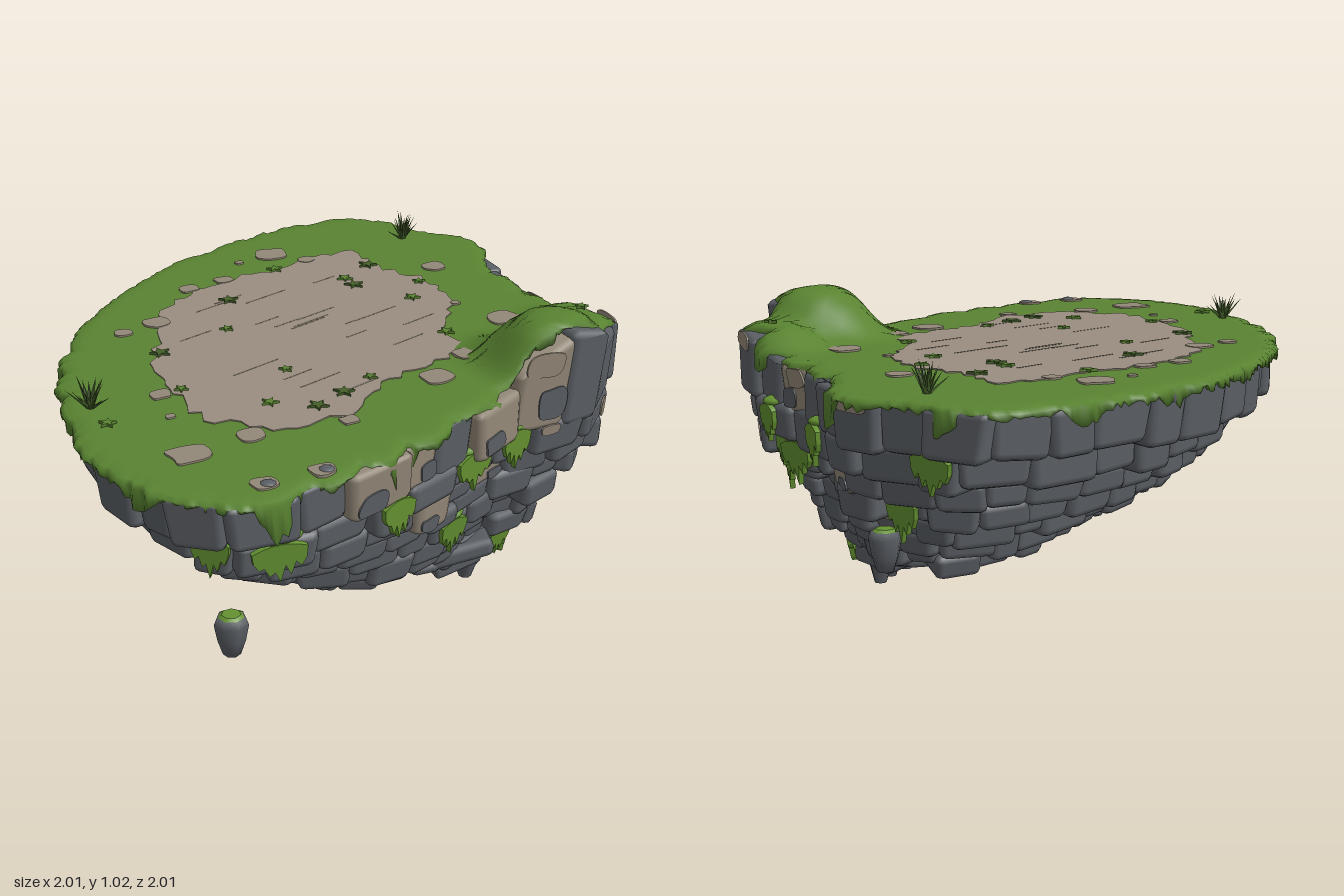
import * as THREE from 'three';
import { RoundedBoxGeometry } from 'three/addons/geometries/RoundedBoxGeometry.js';

const mat = (name, color, side = THREE.FrontSide) => {
  const m = new THREE.MeshStandardMaterial({ color, side });
  m.name = name;
  return m;
};
const V = (x, y, z) => new THREE.Vector3(x, y, z);
const { lerp, smoothstep, clamp } = THREE.MathUtils;

export function createModel() {
  const island = new THREE.Group();
  island.name = 'floatingIsland';
  let seed = 7;
  const rnd = (a = 0, b = 1) => {
    seed = (seed * 16807) % 2147483647;
    return a + (b - a) * seed / 2147483647;
  };
  const stone = mat('stone', 0x5b5f65), deepStone = mat('deepStone', 0x484b50);
  const sand = mat('weatheredStone', 0x938878), paving = mat('paving', 0x998e80);
  const crack = mat('pavingCrack', 0x8a7f71);
  const grass = mat('grass', 0x598331, THREE.DoubleSide), moss = mat('moss', 0x649231);
  const leaf = mat('darkLeaf', 0x435e29, THREE.DoubleSide);

  const add = (name, geo, m, x = 0, y = 0, z = 0, parent = island) => {
    const mesh = new THREE.Mesh(geo, m);
    mesh.name = name;
    mesh.position.set(x, y, z);
    parent.add(mesh);
    return mesh;
  };
  const loop = pts => new THREE.CatmullRomCurve3(pts.map(([x, z]) => V(x, 0, z)), true);
  const slab = (shape, depth) =>
    new THREE.ExtrudeGeometry(shape, { depth, bevelEnabled: false });
  const flatShape = pts => new THREE.Shape(pts.map(p => new THREE.Vector2(p.x, -p.z)));
  // Rounded, irregular patch filling about w by h
  const blob = (w, h) => flatShape(loop(Array.from({ length: 9 }, (_, k) => {
    const a = k * Math.PI * 2 / 9 + .3, c = Math.cos(a), s = Math.sin(a), r = rnd(.8, 1.05);
    return [Math.sign(c) * Math.abs(c) ** .6 * w / 2 * r, Math.sign(s) * Math.abs(s) ** .6 * h / 2 * r];
  })).getPoints(30).slice(0, -1));

  // Skin a list of closed rings, running from the top outward and down
  function loft(rings) {
    const n = rings[0].length, index = [];
    for (let j = 0; j < rings.length - 1; j++)
      for (let i = 0; i < n; i++) {
        const a = j * n + i, b = j * n + (i + 1) % n;
        index.push(a, b, a + n, b, b + n, a + n);
      }
    const g = new THREE.BufferGeometry().setFromPoints(rings.flat());
    g.setIndex(index);
    g.computeVertexNormals();
    return g;
  }

  // Island outline, the low point under it, and the raised corner
  const outline = loop([[.35, -.96], [.6, -.97], [.79, -.9], [.85, -.7], [.96, -.53], [.95, -.3],
    [.91, 0], [.93, .2], [.91, .4], [.87, .55], [.7, .67], [.4, .69], [.15, .78], [-.1, .87],
    [-.4, .94], [-.68, .97], [-.87, .87], [-.94, .7], [-.97, .45], [-.92, .15], [-.81, -.15],
    [-.6, -.45], [-.4, -.65], [-.1, -.82], [.15, -.91]]);
  const tip = V(.45, 0, .35);
  const ground = (x, z) => {
    const d = ((x - .6) / .2) ** 2 + ((z - .61) / .24) ** 2;
    const e = ((x - .82) / .15) ** 2 + ((z - .45) / .22) ** 2;
    return .855 + Math.max(.165 * Math.exp(-(d ** 2.1)), .075 * Math.exp(-e * e));
  };
  // How much a direction belongs to the steep front and right cliffs
  const cliff = o => {
    const d = o.clone().sub(tip).normalize();
    return smoothstep(d.x + d.z, -.95, -.3);
  };

  // Courses: top height, radius on the bowl side, radius on the cliff side, block width
  const courses = [[.84, .985, 1, .19], [.71, .91, .93, .2], [.61, .84, .84, .18], [.53, .76, .72, .17],
    [.46, .69, .62, .16], [.39, .58, .52, .15], [.31, .48, .43, .14], [.25, .33, .34, .13],
    [.21, .19, .26, .11], [.165, .09, .18, .09], [.11, .035, .08, .1]];
  const ringPoint = (u, c) => {
    const o = outline.getPointAt(((u % 1) + 1) % 1);
    const [y, a, b] = courses[Math.min(c, courses.length - 1)];
    const p = o.clone().sub(tip).multiplyScalar(lerp(a, b, cliff(o))).add(tip);
    p.y = y;
    return p;
  };

  // Solid core behind the blocks
  add('core', loft(courses.map((c, j) => Array.from({ length: 72 }, (_, i) => {
    const p = ringPoint(i / 72, j).sub(tip);
    return V(p.x * .92, p.y, p.z * .92).add(tip);
  }))), deepStone);

  // Stepped courses of rounded blocks
  const blocks = [];
  for (let c = 0; c < courses.length - 1; c++) {
    let length = 0;
    for (let i = 0; i < 60; i++) length += ringPoint(i / 60, c).distanceTo(ringPoint((i + 1) / 60, c));
    const n = Math.max(7, Math.round(length / courses[c][3])), shift = rnd();
    const cuts = Array.from({ length: n }, (_, i) => (i + shift + rnd(-.2, .2)) / n);
    for (let i = 0; i < n; i++) {
      const u0 = cuts[i], u1 = i < n - 1 ? cuts[i + 1] : cuts[0] + 1, um = (u0 + u1) / 2;
      const p0 = ringPoint(u0, c), p1 = ringPoint(u1, c), p = ringPoint(um, c);
      const t = p1.clone().sub(p0), w = t.length() + .014, rough = cliff(p);
      const normal = t.normalize().cross(V(0, -1, 0));
      const d = clamp(p.distanceTo(ringPoint(um, c + 2)) + .04, c < 8 ? .15 : .07, c ? .5 : .18);
      const top = (c ? courses[c][0] : ground(p.x, p.z)) + rnd(-.012, .012);
      const h = top - courses[c + 1][0] + rnd(.01, .045);
      const geo = new RoundedBoxGeometry(w, h, d, 1, Math.min(.026, w / 5));
      const pos = geo.attributes.position, pinch = rnd(.03, .18), skew = rnd(-.08, .08);
      for (let k = 0; k < pos.count; k++) {
        const y = pos.getY(k) / h;
        pos.setX(k, pos.getX(k) * (1 - pinch * (.5 - y)) + skew * y * w);
      }
      const out = rnd(-.014, .016 + .02 * rough) * (c < 8 ? 1 : .4) - d / 2;
      const mesh = add('stoneBlock', geo, stone, p.x + normal.x * out, top - h / 2, p.z + normal.z * out);
      mesh.rotation.set(.04 + Math.min(c, 6) * .025 + rnd(-.05, .05),
        Math.atan2(normal.x, normal.z) + rnd(-.08, .08) * rough, rnd(-.06, .06), 'YXZ');
      // Keep the highest course under the turf
      if (c === 0) {
        mesh.updateMatrix();
        const inverse = mesh.matrix.clone().invert(), v = V();
        for (let k = 0; k < pos.count; k++) {
          v.fromBufferAttribute(pos, k).applyMatrix4(mesh.matrix);
          v.y = Math.min(v.y, ground(v.x, v.z) - .018);
          v.applyMatrix4(inverse);
          pos.setXYZ(k, v.x, v.y, v.z);
        }
      }
      blocks.push({ mesh, w, h, d, normal, face: V(p.x, top - h / 2, p.z) });
    }
  }

  // Hanging points of the rock
  [[.425, .385, .085, .19], [.49, .325, .075, .2], [.38, .35, .06, .17]].forEach(([x, z, r, h], i) =>
    add('tipRock', new THREE.CylinderGeometry(r, .022, h, 7), stone, x, h / 2 + (i === 2 ? .03 : 0), z));

  // Block facing the given axis that lies nearest to a spot on the wall
  const pick = (axis, u, y) => {
    let best = null, score = 9;
    for (const b of blocks) {
      if (b.normal[axis === 'x' ? 'z' : 'x'] < .6) continue;
      const s = Math.hypot(b.face[axis] - u, (b.face.y - y) * 2);
      if (s < score) { score = s; best = b; }
    }
    return best;
  };
  // Weathered blocks with a worn grey blotch
  [['x', -.2, .77], ['x', -.06, .77], ['x', .25, .78], ['x', .4, .79], ['x', -.05, .555], ['x', .37, .555],
    ['z', .1, .78], ['z', -.23, .555]].forEach(([axis, u, y], i) => {
    const b = pick(axis, u, y);
    b.mesh.material = sand;
    add('wornBlotch', slab(blob(b.w * .5, b.h * .4), .006), stone,
      b.w * (i % 2 ? .18 : -.18), -b.h * .2, b.d / 2 - .001, b.mesh);
  });
  // Weathered patches on grey blocks: spot, then share of width and height and shift along the face
  [['x', .55, .86, .7, .3, -.05], ['x', .7, .66, .22, .8, .2], ['x', .62, .66, .4, .3, -.2],
    ['z', .45, .84, .7, .25, 0], ['z', -.1, .42, .7, .5, 0], ['z', -.36, .42, .6, .45, 0],
    ['z', .58, .555, .4, .7, 0], ['z', -.55, .77, .7, .25, 0], ['z', -.03, .77, .6, .4, .1]]
    .forEach(([axis, u, y, w, h, shift]) => {
      const b = pick(axis, u, y);
      add('weatheredPatch', slab(blob(b.w * w, b.h * h), .006), sand,
        shift * b.w, b.h * (.42 - h / 2), b.d / 2 - .001, b.mesh);
    });

  // Moss draped over block ledges, arched on top and dripping below
  function drapeShape(w, h) {
    const s = new THREE.Shape(), teeth = 5;
    s.moveTo(w / 2, -.01);
    s.quadraticCurveTo(0, .03, -w / 2, -.01);
    for (let i = 0; i <= teeth * 2; i++) {
      const x = i / teeth / 2 - .5, fall = 1 - 1.4 * Math.abs(x);
      s.lineTo(w * x * .95, -.03 - h * fall * (i % 2 ? rnd(.7, 1) : rnd(.35, .6)));
    }
    return s;
  }
  [['x', -.77, .645, .12], ['x', -.64, .645, .17], ['x', -.18, .645, .13], ['x', .2, .41, .12],
    ['x', .48, .21, .1], ['x', .24, .645, .16], ['x', .38, .645, .12], ['z', .4, .645, .15],
    ['z', .28, .555, .19], ['z', .1, .555, .18], ['z', .42, .48, .1], ['z', -.4, .48, .14],
    ['z', -.68, .645, .18], ['z', -.25, .645, .11], ['z', .5, .2, .07], ['z', .2, .645, .09]]
    .forEach(([axis, u, y, size]) => {
      const b = pick(axis, u, y), w = Math.min(size, b.w * .95);
      add('mossDrape', slab(drapeShape(w, .11), .018), moss, 0, b.h / 2 - .015, b.d / 2 - .002, b.mesh);
      add('mossLedge', new THREE.SphereGeometry(1, 10, 6).scale(w / 2, .016, .04), moss,
        0, b.h / 2, b.d / 2 - .022, b.mesh);
    });

  // Grass blanket with a lumpy rim and dripping fringe, drawn back above the cliffs
  const N = 360;
  const rim = Array.from({ length: N }, (_, i) => {
    const o = outline.getPointAt(i / N), c = cliff(o);
    const bare = smoothstep(o.x, .05, .3) * smoothstep(o.z, -.5, -.3);
    const clump = Math.max(0, Math.sin(i * .37) * Math.sin(i * .113 + 1));
    return { o, out: .98 - .06 * bare + (.03 + .02 * c) * Math.abs(Math.sin(i * .17 + Math.sin(i * .07) * 2)) + rnd(-.008, .008),
      drop: .018 + rnd(0, .024) + (.05 + .07 * c) * clump * rnd(.6, 1), over: .014 + .055 * bare * clump };
  });
  const turf = (k, f, spread = () => 0) => rim.map(r => {
    const s = k < .98 ? k * (1 - (1 - r.out) * smoothstep(k, .7, 1)) : r.out + spread(r);
    const x = r.o.x * s, z = r.o.z * s;
    return V(x, ground(x, z) - f(r), z);
  });
  add('grassTop', loft([...[.001, .3, .5, .6, .68, .75, .81, .87, .92, .96].map(k => turf(k, () => 0)),
    turf(1, () => .005), turf(1, () => .016, r => r.over), turf(1, r => r.drop, r => r.over),
    turf(1, r => r.drop * .8, () => -.03)]), grass);

  // Paved clearing with a broken edge
  const clearing = loop([[-.02, -.56], [.2, -.58], [.36, -.62], [.52, -.6], [.53, -.42], [.62, -.2],
    [.55, .05], [.43, .2], [.42, .35], [.2, .42], [0, .49], [-.15, .61], [-.4, .61], [-.59, .42],
    [-.59, .25], [-.55, 0], [-.43, -.24], [-.35, -.4], [-.2, -.5]]);
  const edge = clearing.getSpacedPoints(110).slice(0, -1).map(p => p.multiplyScalar(rnd(.96, 1.035)));
  add('clearing', slab(flatShape(edge), .006).rotateX(-Math.PI / 2), paving, 0, .853, 0);
  for (let i = 0; i < 20; i++) {
    const a = rnd(0, 6.28), r = Math.sqrt(rnd()), u = Math.cos(a) * r * .55, v = Math.sin(a) * r * .4;
    add('pavingJoint', new THREE.BoxGeometry(rnd(.08, .2), .002, .006), crack,
      (u + v) * .71, .8588, (v - u) * .71).rotation.y = .26;
  }

  // Flat stones set in the grass
  [[.24, -.72, .06], [-.4, -.32, .048], [-.54, -.29, .03], [.71, -.33, .042], [.66, .2, .058], [.38, .41, .045],
    [.2, .51, .055], [-.73, .64, .062], [-.51, .61, .045], [-.67, .38, .016], [.59, .01, .016], [.1, -.7, .016],
    [-.17, -.55, .036], [-.03, -.57, .034], [.33, -.61, .03], [-.63, .22, .034], [-.2, .66, .03],
    [-.62, .91, .04], [-.43, .91, .04]].forEach(([x, z, r]) =>
    add('flatStone', slab(blob(r * 2.1, r * 1.9), .014).rotateX(-Math.PI / 2), sand, x, ground(x, z) - .008, z));
  [[-.61, .915], [-.42, .915]].forEach(([x, z]) =>
    add('rimStone', new THREE.SphereGeometry(.026, 8, 6).scale(1, .4, 1), stone, x, .858, z));

  // Small star-shaped weeds
  [[-.1, -.38], [-.22, -.15], [.36, -.37], [.5, -.45], [.58, -.22], [.18, -.57], [-.5, -.07], [-.56, .22],
    [-.36, .44], [-.12, .48], [-.2, .24], [.42, .22], [-.24, .53], [.84, .4], [-.86, .34], [.36, -.3],
    [.01, .42], [.48, -.1]].forEach(([x, z], i) => {
    const size = [.036, .024, .03][i % 3];
    const pts = Array.from({ length: 10 }, (_, k) => {
      const a = -k * Math.PI / 5 + i, r = size * (k % 2 ? .4 : 1);
      return V(Math.cos(a) * r, 0, Math.sin(a) * r);
    });
    add('weed', slab(flatShape(pts), .009).rotateX(-Math.PI / 2), i % 3 ? grass : leaf, x, ground(x, z) + .003, z);
  });

  // Spiky grass tufts
  [[.77, -.65], [-.86, .2]].forEach(([x, z]) => {
    const tuft = new THREE.Group();
    tuft.name = 'grassTuft';
    tuft.position.set(x, .85, z);
    island.add(tuft);
    for (let i = 0; i < 18; i++) {
      const h = rnd(.08, .115), blade = add('blade',
        new THREE.ConeGeometry(.012, h, 4).scale(1, 1, .4).translate(0, h / 2, 0), leaf, 0, 0, 0, tuft);
      blade.rotation.set(rnd(.15, 1), i * 2.4, 0, 'YXZ');
    }
  });

  // Loose rocks hovering below the rim
  [[-.68, .8], [.78, -.36]].forEach(([x, z], i) => {
    const rock = new THREE.Group();
    rock.name = 'hoveringRock';
    rock.position.set(x, .32, z);
    rock.rotation.y = i;
    island.add(rock);
    const profile = [[0, -.075], [.028, -.07], [.044, -.02], [.054, .035], [.045, .058], [0, .063]];
    add('rockBody', new THREE.LatheGeometry(profile.map(p => new THREE.Vector2(...p)), 7), stone, 0, 0, 0, rock);
    add('rockMoss', new THREE.CylinderGeometry(.03, .047, .014, 7), moss, 0, .06, 0, rock);
  });
  return island;
}
